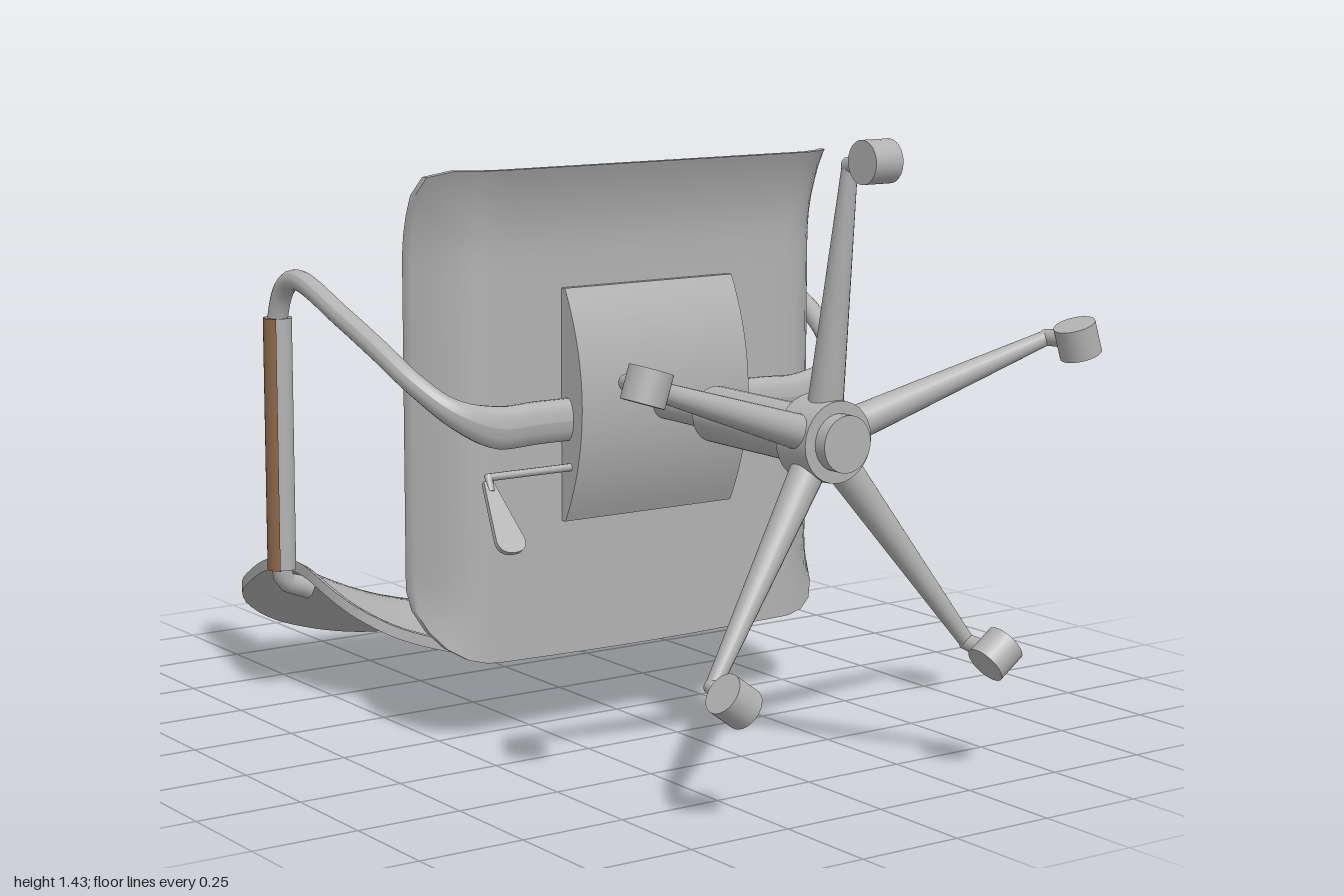
import * as THREE from 'three';
import { toCreasedNormals } from 'three/addons/utils/BufferGeometryUtils.js';

const metal = new THREE.MeshStandardMaterial({ color: 0xb2b2b2, side: THREE.DoubleSide });
metal.name = 'light grey';
const leather = new THREE.MeshStandardMaterial({ color: 0x8f694b, side: THREE.DoubleSide });
leather.name = 'brown leather';

const clamp = (v) => THREE.MathUtils.clamp(v, 0, 1);
const V = (x, y, z) => new THREE.Vector3(x, y, z);

function add(parent, name, geometry, material) {
  const mesh = new THREE.Mesh(geometry, material);
  mesh.name = name;
  parent.add(mesh);
  return mesh;
}

// Tapered round bar between two points
function rod(parent, name, a, b, r0, r1, sides = 20) {
  const d = b.clone().sub(a);
  const mesh = add(parent, name, new THREE.CylinderGeometry(r1, r0, d.length(), sides), metal);
  mesh.position.copy(a).addScaledVector(d, 0.5);
  mesh.quaternion.setFromUnitVectors(V(0, 1, 0), d.normalize());
  return mesh;
}

// Rounded closed outline through corner list, evenly sampled, anticlockwise
function outline(corners, radius, n = 96) {
  const path = new THREE.Path();
  const count = corners.length;
  corners.forEach((c, i) => {
    const p = new THREE.Vector2(...c);
    const prev = new THREE.Vector2(...corners[(i + count - 1) % count]);
    const next = new THREE.Vector2(...corners[(i + 1) % count]);
    const r = c[2] ?? radius;
    const a = p.clone().add(prev.sub(p).setLength(r));
    const b = p.clone().add(next.sub(p).setLength(r));
    if (i) path.lineTo(a.x, a.y); else path.moveTo(a.x, a.y);
    path.quadraticCurveTo(p.x, p.y, b.x, b.y);
  });
  path.closePath();
  return path.getSpacedPoints(n);
}

// Skin over concentric copies of an outline; map(u, v, ring) gives the point
function skin(points, centre, rings, map, crease) {
  const pos = [], index = [], n = points.length;
  rings.forEach((ring) => points.forEach((p) => {
    const u = centre[0] + (p.x - centre[0]) * ring[0];
    const v = centre[1] + (p.y - centre[1]) * ring[0];
    pos.push(...map(u, v, ring));
  }));
  for (let i = 0; i < rings.length - 1; i++) {
    for (let j = 0; j < n - 1; j++) {
      const a = i * n + j, b = a + n;
      index.push(a, b, b + 1, a, b + 1, a + 1);
    }
  }
  const g = new THREE.BufferGeometry();
  g.setAttribute('position', new THREE.Float32BufferAttribute(pos, 3));
  g.setIndex(index);
  return toCreasedNormals(g, crease);
}

// Underside height of the seat shell: raised sides, curled front lip
function seatHeight(x, y) {
  const side = clamp((Math.abs(x) - 0.42) / 0.145) ** 2;
  const front = clamp((y - 1.12) / 0.21) ** 2;
  const rear = clamp((0.34 - y) / 0.14);
  return 0.12 + 0.05 * front - 0.13 * side * (1 - 0.2 * front) * (1 - 0.5 * rear);
}

const steps = [0, 0.2, 0.4, 0.55, 0.65, 0.72, 0.78, 0.83, 0.87, 0.91, 0.94, 0.97, 0.99, 1];

function seat(root) {
  const edge = outline([[-0.565, 0.2, 0.16], [0, 0.19, 0.2], [0.565, 0.2, 0.16],
    [0.565, 1.33, 0.05], [-0.565, 1.33, 0.05]], 0.1);
  const centre = [0, 0.765];
  const under = steps.map((s) => [s, 0]);
  const over = steps.map((s) => [s, 0.02]).reverse();
  add(root, 'seatShell', skin(edge, centre, [...under, ...over],
    (x, y, r) => [x, y, seatHeight(x, y) - r[1]], 0.7), metal);

  // Padded cushion, thicker along both sides
  const soft = outline([[-0.545, 0.205, 0.17], [0, 0.2, 0.2], [0.545, 0.205, 0.17],
    [0.545, 1.33, 0.12], [-0.545, 1.33, 0.12]], 0.1);
  add(root, 'seatCushion', skin(soft, centre, steps.map((s) => [s]).reverse(), (x, y, [s]) => {
    const bolster = THREE.MathUtils.smoothstep(Math.abs(x), 0.28, 0.45);
    const fall = Math.sqrt(1 - clamp((s - 0.76) / 0.24) ** 2);
    return [x, y, seatHeight(x, y) - 0.018 - (0.12 + 0.055 * bolster) * fall];
  }, 0.9), leather);
}

function backrest(root) {
  const edge = outline([[-0.43, -1, 0.08], [0.43, -1, 0.08], [0.53, -0.93, 0.06], [0.575, -0.66, 0.1],
    [0.575, -0.4, 0.09], [0.49, -0.295, 0.08], [-0.49, -0.295, 0.08], [-0.575, -0.4, 0.09],
    [-0.575, -0.66, 0.1], [-0.53, -0.93, 0.06]], 0.1, 120);
  const spine = new THREE.CubicInterpolant(
    [-1, -0.9, -0.75, -0.6, -0.5, -0.36, -0.29],
    [0, 0.05, 0.11, 0.142, 0.142, 0.098, 0.078], 1);
  const under = steps.map((s) => [s, 0]);
  const over = steps.map((s) => [s, s > 0.96 ? 0.028 : 0.02]).reverse();
  add(root, 'backrest', skin(edge, [0, -0.65], [...under, ...over],
    (x, z, r) => [x, spine.evaluate(z)[0] + 0.5 * x * x + r[1], z], 0.6), metal);
}

function arm(root, side) {
  const group = new THREE.Group();
  group.name = side > 0 ? 'leftArm' : 'rightArm';
  root.add(group);
  const curve = new THREE.CatmullRomCurve3([
    [0.2, 0.75, 0.145], [0.32, 0.75, 0.145], [0.43, 0.75, 0.145], [0.53, 0.79, 0.125], [0.588, 0.85, 0.06],
    [0.615, 0.915, -0.05], [0.624, 0.975, -0.2], [0.625, 1.04, -0.41], [0.625, 1.02, -0.47],
    [0.625, 0.94, -0.512], [0.625, 0.62, -0.515], [0.625, 0.35, -0.515], [0.615, 0.3, -0.515],
    [0.55, 0.275, -0.515]].map(([x, y, z]) => V(x * side, y, z)), false, 'centripetal');
  const segments = 90, sides = 14;
  const g = new THREE.TubeGeometry(curve, segments, 0.025, sides);
  // Flatten the tube into a broad strap where it runs under the seat
  const p = g.attributes.position;
  for (let i = 0; i <= segments; i++) {
    const c = curve.getPointAt(i / segments);
    const wide = 2 - THREE.MathUtils.smoothstep(Math.abs(c.x), 0.42, 0.6);
    for (let j = 0; j <= sides; j++) {
      const k = i * (sides + 1) + j;
      p.setY(k, c.y + (p.getY(k) - c.y) * wide);
    }
  }
  g.computeVertexNormals();
  add(group, 'armTube', g, metal);
  rod(group, 'armRail', V(0.622 * side, 0.33, -0.512), V(0.622 * side, 0.94, -0.512), 0.031, 0.031);
  // Leather grip around the upper and outer side of the rail
  const start = side * 0.85 * Math.PI - 0.65 * Math.PI;
  const pad = add(group, 'armPad',
    new THREE.CylinderGeometry(0.036, 0.036, 0.61, 20, 1, false, start, 1.3 * Math.PI), leather);
  pad.position.set(0.624 * side, 0.635, -0.512);
}

function base(root) {
  const group = new THREE.Group();
  group.name = 'base';
  group.position.y = 0.775;
  root.add(group);
  rod(group, 'thinColumn', V(0, 0, 0.15), V(0, 0, 0.42), 0.038, 0.038, 28);
  rod(group, 'thickColumn', V(0, 0, 0.395), V(0, 0, 0.78), 0.064, 0.064, 28);
  rod(group, 'hub', V(0, 0, 0.745), V(0, 0, 0.84), 0.096, 0.09, 28);
  rod(group, 'hubCap', V(0, 0, 0.83), V(0, 0, 0.872), 0.063, 0.063, 28);
  for (let i = 0; i < 5; i++) {
    const leg = new THREE.Group();
    leg.name = 'leg' + (i + 1);
    leg.rotation.z = (i * Math.PI * 2) / 5;
    group.add(leg);
    rod(leg, 'legBar', V(0, 0.05, 0.79), V(0, 0.6, 0.868), 0.04, 0.017);
    rod(leg, 'casterStem', V(0, 0.595, 0.86), V(0, 0.61, 0.94), 0.018, 0.022);
    rod(leg, 'caster', V(-0.036, 0.61, 0.953), V(0.036, 0.61, 0.953), 0.047, 0.047, 24);
  }
}

function mechanism(root) {
  // Bowed plate under the seat; the profile is drawn in (-z, y)
  const s = new THREE.Shape();
  s.moveTo(-0.1, 0.51);
  s.lineTo(-0.1, 1.05);
  s.lineTo(-0.135, 1.05);
  s.quadraticCurveTo(-0.275, 0.78, -0.135, 0.51);
  const g = new THREE.ExtrudeGeometry(s, { depth: 0.47, bevelEnabled: false, curveSegments: 20 });
  g.rotateY(Math.PI / 2).translate(-0.235, 0, 0);
  add(root, 'seatPlate', toCreasedNormals(g, 0.5), metal);

  // Height lever with a flat teardrop paddle
  rod(root, 'leverRod', V(-0.2, 0.64, 0.155), V(-0.455, 0.64, 0.155), 0.009, 0.009, 10);
  rod(root, 'leverNeck', V(-0.455, 0.645, 0.152), V(-0.46, 0.61, 0.172), 0.009, 0.009, 10);
  const t = new THREE.Shape();
  t.moveTo(-0.012, 0);
  t.lineTo(-0.037, -0.15);
  t.quadraticCurveTo(-0.037, -0.182, 0, -0.182);
  t.quadraticCurveTo(0.037, -0.182, 0.037, -0.15);
  t.lineTo(0.012, 0);
  const paddle = add(root, 'leverPaddle',
    new THREE.ExtrudeGeometry(t, { depth: 0.012, bevelEnabled: false }), metal);
  paddle.position.set(-0.46, 0.626, 0.152);
  paddle.rotation.x = -0.66;
}

export function createModel() {
  const root = new THREE.Group();
  root.name = 'swivelChair';
  seat(root);
  backrest(root);
  arm(root, 1);
  arm(root, -1);
  mechanism(root);
  base(root);
  return root;
}
